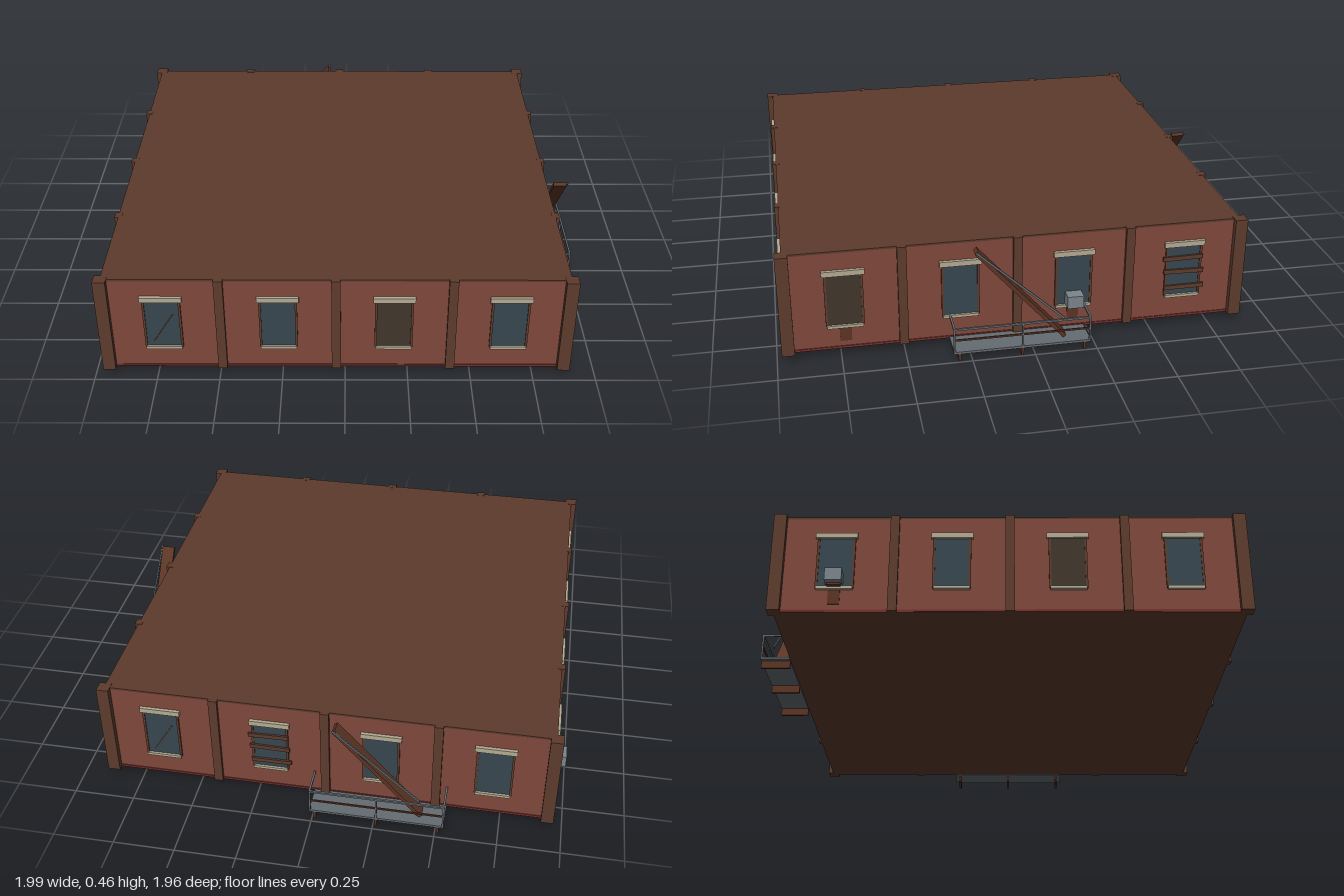
import * as THREE from 'three';

const mat = (name, color) => {
  const m = new THREE.MeshStandardMaterial({ color });
  m.name = name;
  return m;
};

export function createModel() {
  const brick = mat('brick', 0x7f473b);
  const trim = mat('brown trim', 0x5d3b2c);
  const base = mat('base red', 0x742f2b);
  const glass = mat('glass', 0x37464f);
  const board = mat('dark board', 0x40352b);
  const stone = mat('stone', 0xb3aa92);
  const rust = mat('rust', 0x5b3424);
  const steel = mat('steel', 0x646c72);
  const lightSteel = mat('light steel', 0x7b858c);

  const H = 0.905;              // half width of the building
  const Y0 = 0.035, Y1 = 0.461; // bottom and top of the storey
  const BAY = H / 2;

  const model = new THREE.Group();
  model.name = 'building storey';
  const storey = new THREE.Group();
  storey.name = 'storey';
  storey.position.set(-0.035, 0, 0.05);
  model.add(storey);

  const box = (parent, name, m, w, h, d, x, y, z) => {
    const mesh = new THREE.Mesh(new THREE.BoxGeometry(w, h, d), m);
    mesh.name = name;
    mesh.position.set(x, y, z);
    parent.add(mesh);
    return mesh;
  };

  // Sloping bar between two points in a plane parallel to the wall
  const bar = (parent, name, m, x0, y0, x1, y1, z, thick, depth) => {
    const len = Math.hypot(x1 - x0, y1 - y0);
    const b = box(parent, name, m, len, thick, depth, (x0 + x1) / 2, (y0 + y1) / 2, z);
    b.rotation.z = Math.atan2(y1 - y0, x1 - x0);
    return b;
  };

  // Body, floor and roof
  box(storey, 'brickBody', brick, 2 * H, 0.412, 2 * H, 0, 0.246, 0);
  box(storey, 'floorSlab', trim, 2 * H, 0.005, 2 * H, 0, Y0 + 0.0025, 0);
  box(storey, 'roofSlab', trim, 2 * H, 0.008, 2 * H, 0, 0.456, 0);

  // Corner piers
  for (const sx of [-1, 1]) for (const sz of [-1, 1])
    box(storey, 'cornerPier', trim, 0.05, Y1 - Y0, 0.05, sx * H, (Y0 + Y1) / 2, sz * H);

  // One window; kind picks the filling
  function addWindow(wall, u, kind, stain) {
    const g = new THREE.Group();
    g.name = 'window';
    g.position.set(u, 0, H);
    wall.add(g);
    box(g, 'pane', kind === 'board' ? board : glass, 0.134, 0.22, 0.004, 0, 0.25, 0.002);
    for (const s of [-1, 1])
      box(g, 'jamb', trim, 0.009, 0.22, 0.008, s * 0.0705, 0.25, 0.004);
    box(g, 'lintel', stone, 0.165, 0.022, 0.014, 0, 0.37, 0.007);
    box(g, 'sill', stone, 0.142, 0.012, 0.014, 0, 0.138, 0.007);
    if (kind === 'crack')
      bar(g, 'crack', board, -0.04, 0.162, 0.045, 0.298, 0.005, 0.005, 0.003);
    if (kind === 'planks')
      [0.31, 0.25, 0.18].forEach((y, i) => {
        const p = box(g, 'plank', trim, 0.165, 0.018, 0.008, (i - 1) * 0.005, y, 0.012);
        p.rotation.z = [0.02, -0.02, 0.01][i];
      });
    if (kind === 'ac') {
      box(g, 'airConditioner', lightSteel, 0.066, 0.052, 0.053, 0, 0.174, 0.0285);
      box(g, 'unitBracket', rust, 0.054, 0.008, 0.03, 0, 0.144, 0.016);
    }
    if (stain)
      box(g, 'stain', rust, 0.046, 0.06, 0.004, 0, 0.1, 0.002);
  }

  // Fire escape: platform, brackets, railing and steep stair
  function addFireEscape(wall, u) {
    const g = new THREE.Group();
    g.name = 'fireEscape';
    g.position.set(u, 0, H);
    wall.add(g);
    box(g, 'platform', steel, 0.546, 0.01, 0.12, 0, 0.037, 0.064);
    for (const x of [-0.25, 0, 0.25])
      box(g, 'bracket', rust, 0.01, 0.032, 0.12, x, 0.016, 0.063);
    for (const x of [-0.27, 0, 0.27])
      box(g, 'post', steel, 0.007, 0.102, 0.007, x, 0.091, 0.12);
    box(g, 'topRail', steel, 0.546, 0.008, 0.008, 0, 0.141, 0.12);
    box(g, 'midRail', rust, 0.546, 0.007, 0.006, 0, 0.093, 0.12);
    for (const s of [-1, 1])
      box(g, 'sideRail', steel, 0.008, 0.008, 0.116, s * 0.27, 0.141, 0.062);
    bar(g, 'stair', rust, -0.175, 0.443, 0.175, 0.048, 0.063, 0.016, 0.056);
    bar(g, 'stairRail', steel, -0.18, 0.452, 0.17, 0.135, 0.095, 0.008, 0.006);
  }

  // Four walls, each described from its left to its right seen from outside
  const walls = [
    { name: 'frontWall', turn: 0, windows: ['crack', 'glass', 'board', 'glass'], stains: [] },
    { name: 'leftWall', turn: 1, windows: ['board', 'glass', 'ac', 'planks'], stains: [0, 2], escape: 0 },
    { name: 'backWall', turn: 2, windows: ['crack', 'planks', 'glass', 'glass'], stains: [], escape: BAY / 2 },
    { name: 'rightWall', turn: 3, windows: ['ac', 'glass', 'board', 'glass'], stains: [0] },
  ];
  for (const w of walls) {
    const wall = new THREE.Group();
    wall.name = w.name;
    wall.rotation.y = w.turn * Math.PI / 2;
    storey.add(wall);
    box(wall, 'baseStrip', base, 2 * H, 0.01, 0.004, 0, Y0 + 0.006, H + 0.001);
    for (const i of [-1, 0, 1])
      box(wall, 'pilaster', trim, 0.036, Y1 - Y0, 0.03, i * BAY, (Y0 + Y1) / 2, H);
    w.windows.forEach((kind, i) => addWindow(wall, (i - 1.5) * BAY, kind, w.stains.includes(i)));
    if (w.escape !== undefined) addFireEscape(wall, w.escape);
  }
  return model;
}
